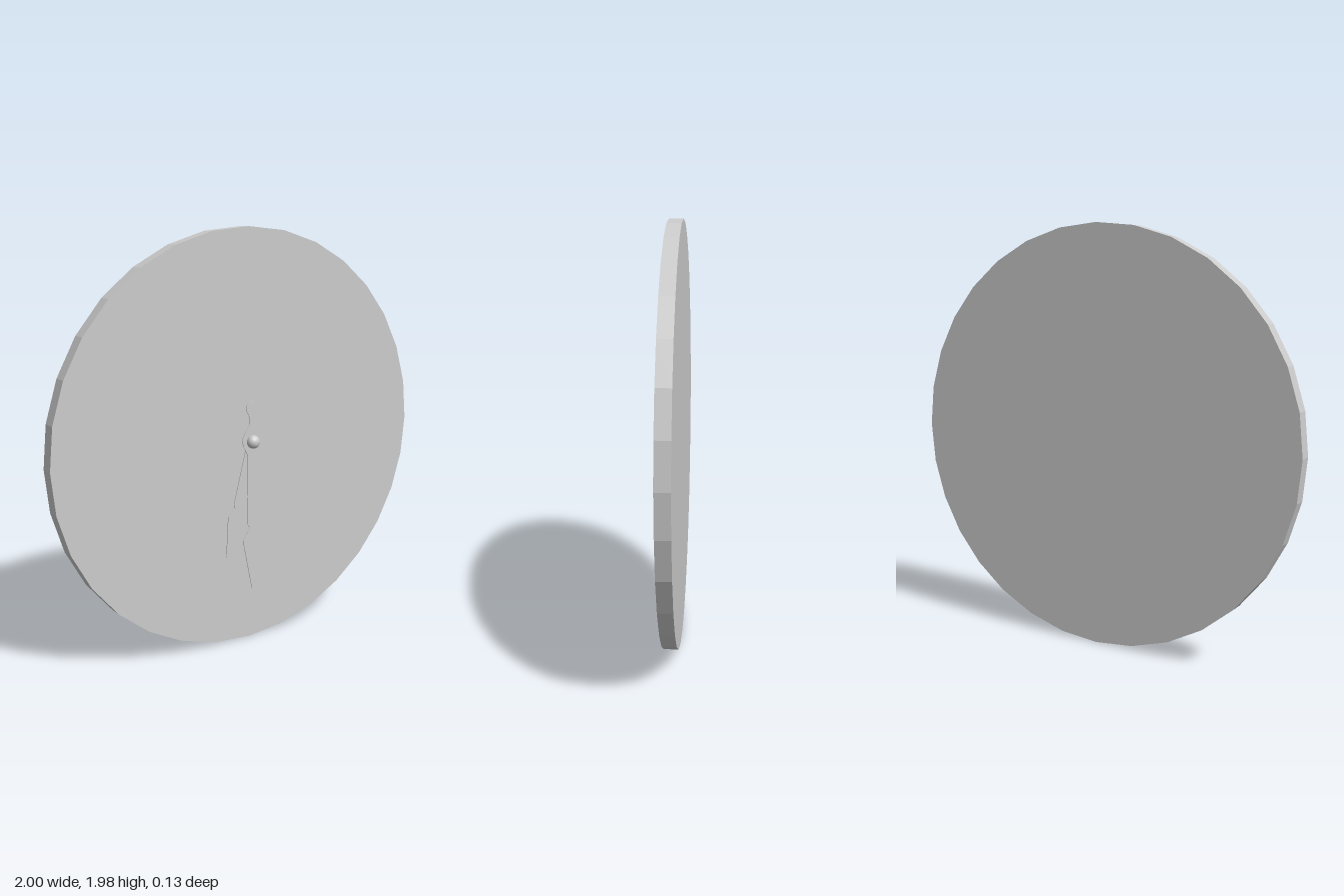
import * as THREE from 'three';

const PIVOT_Y = 0.994;

function createMaterial(flatShading) {
  return new THREE.MeshStandardMaterial({ color: 0xcccccc, flatShading });
}

// Symmetric clock hand pointing down, with its pivot at the origin
function handShape() {
  const half = [
    [0.052, -0.48], [0.012, -0.422], [0.027, -0.4], [0.024, -0.065],
    [0.05, -0.015], [0.055, 0.018], [0.036, 0.052], [0.012, 0.082], [0.014, 0.116],
  ];
  // Round eye on the tail
  for (let i = 0; i <= 6; i++) {
    const a = -0.75 + (i / 6) * (Math.PI / 2 + 0.75);
    half.push([0.033 * Math.cos(a), 0.159 + 0.033 * Math.sin(a)]);
  }
  const right = half.map(([x, y]) => new THREE.Vector2(x, y));
  const left = right.slice(0, -1).reverse().map((p) => new THREE.Vector2(-p.x, p.y));
  return new THREE.Shape([new THREE.Vector2(0, -0.733), ...right, ...left]);
}

function createHand(name, z, scaleX, scaleY, angle) {
  const geometry = new THREE.ExtrudeGeometry(handShape(), { depth: 0.004, bevelEnabled: false });
  const hand = new THREE.Mesh(geometry, createMaterial(true));
  hand.name = name;
  hand.scale.set(scaleX, scaleY, 1);
  hand.rotation.z = angle;
  hand.position.set(0, PIVOT_Y, z);
  return hand;
}

export function createModel() {
  const model = new THREE.Group();
  model.name = 'clock';

  // Faceted, very slightly flattened face plate
  const plate = new THREE.CylinderGeometry(1, 1, 0.066, 32);
  plate.rotateX(Math.PI / 2);
  plate.scale(1, 0.988, 1);
  const face = new THREE.Mesh(plate, createMaterial(true));
  face.name = 'clockFace';
  face.position.set(0, 0.99, -0.032);
  model.add(face);

  // Two hands stacked in front of the face
  model.add(createHand('hourHand', 0.011, 0.72, 0.775, -0.248));
  model.add(createHand('minuteHand', 0.023, 1, 1, 0));

  // Pin through both hands
  const pinGeometry = new THREE.CylinderGeometry(0.012, 0.012, 0.04, 16);
  pinGeometry.rotateX(Math.PI / 2);
  const pin = new THREE.Mesh(pinGeometry, createMaterial(false));
  pin.name = 'centrePin';
  pin.position.set(0, PIVOT_Y, 0.018);
  model.add(pin);

  // Round knob capping the pin
  const knob = new THREE.Mesh(new THREE.SphereGeometry(0.032, 24, 16), createMaterial(false));
  knob.name = 'centreKnob';
  knob.scale.z = 0.9;
  knob.position.set(0, PIVOT_Y, 0.036);
  model.add(knob);

  return model;
}
